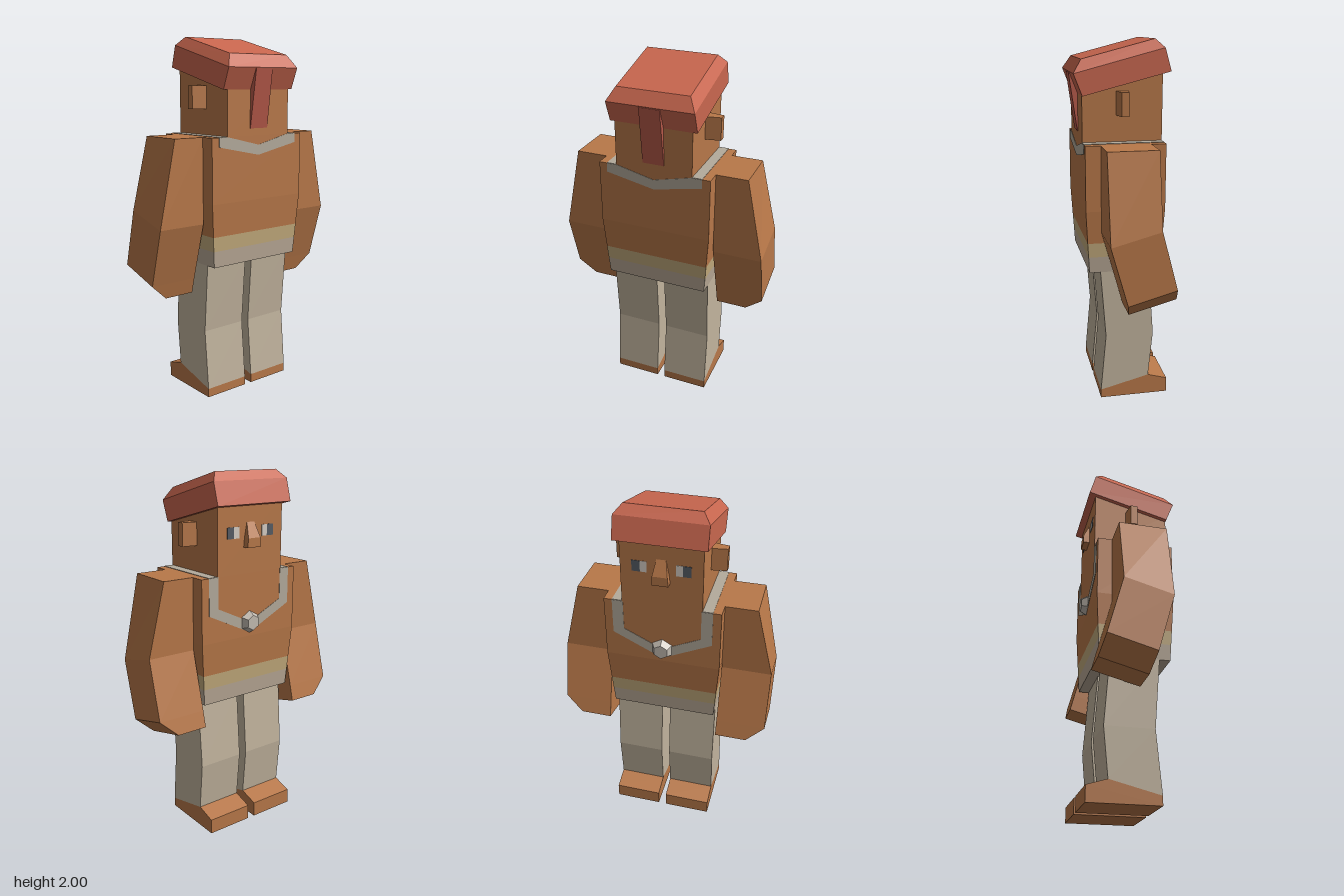
import * as THREE from 'three';

const SKIN = 0xb87849, HAT = 0xc9674f, CLOTH = 0xc2b49e, CORD = 0xb4ab9c;

function add(parent, name, geometry, color) {
  const material = new THREE.MeshStandardMaterial({ color, flatShading: true });
  const mesh = new THREE.Mesh(geometry, material);
  mesh.name = name;
  parent.add(mesh);
  return mesh;
}

// Closed four-sided loft, bottom to top. Ring: [x0, x1, zBack, yBack, zFace, yFace]
function loft(rings, side = 1) {
  const corners = rings.map(([a, b, zb, yb, zf, yf]) => {
    const x0 = Math.min(a * side, b * side), x1 = Math.max(a * side, b * side);
    return [[x0, yb, zb], [x1, yb, zb], [x1, yf, zf], [x0, yf, zf]];
  });
  const pos = [];
  const quad = (a, b, c, d) => [a, b, c, a, c, d].forEach((p) => pos.push(...p));
  for (let r = 0; r < corners.length - 1; r++) {
    const lo = corners[r], up = corners[r + 1];
    for (let i = 0; i < 4; i++) {
      const j = (i + 1) % 4;
      quad(lo[i], lo[j], up[j], up[i]);
    }
  }
  const first = corners[0], last = corners[corners.length - 1];
  quad(first[3], first[2], first[1], first[0]);
  quad(...last);
  const g = new THREE.BufferGeometry();
  g.setAttribute('position', new THREE.Float32BufferAttribute(pos, 3));
  g.computeVertexNormals();
  return g;
}

function extrude(points, depth) {
  const shape = new THREE.Shape(points.map(([x, y]) => new THREE.Vector2(x, y)));
  return new THREE.ExtrudeGeometry(shape, { depth, bevelEnabled: false });
}

// Symmetric V-shaped cord, from half outlines given top to centre
function cordV(outer, inner) {
  const flip = (pts) => pts.slice(0, -1).reverse().map(([x, y]) => [-x, y]);
  return extrude([...outer, ...flip(outer), ...flip(inner).reverse(), ...inner.slice().reverse()], 0.005);
}

function box(x, y, z, w, h, d) {
  return new THREE.BoxGeometry(w, h, d).translate(x, y, z);
}

export function createModel() {
  const model = new THREE.Group();
  model.name = 'figure';

  // Torso with a two-tone hem
  const torso = new THREE.Group();
  torso.name = 'torso';
  model.add(torso);
  const waist = [-0.302, 0.302, 0.205, 0.94, -0.205, 0.94];
  const hem = [-0.297, 0.297, 0.2, 0.86, -0.2, 0.86];
  add(torso, 'chest', loft([waist,
    [-0.315, 0.315, 0.215, 1.12, -0.215, 1.12],
    [-0.315, 0.315, 0.215, 1.47, -0.215, 1.47]]), SKIN);
  add(torso, 'upperHem', loft([hem, waist]), 0xc2aa7c);
  add(torso, 'lowerHem', loft([[-0.29, 0.29, 0.195, 0.77, -0.195, 0.77], hem]), 0xb9a996);

  // Head, nose and hat (the face looks toward -z)
  const head = new THREE.Group();
  head.name = 'head';
  model.add(head);
  add(head, 'skull', loft([
    [-0.215, 0.215, 0.215, 1.47, -0.215, 1.47],
    [-0.215, 0.215, 0.215, 1.75, -0.215, 1.86]]), SKIN);
  add(head, 'nose', loft([
    [-0.045, 0.045, -0.21, 1.61, -0.25, 1.61],
    [-0.04, 0.04, -0.21, 1.66, -0.25, 1.66],
    [-0.025, 0.025, -0.21, 1.74, -0.215, 1.74]]), SKIN);
  add(head, 'hat', loft([
    [-0.24, 0.24, 0.215, 1.715, -0.255, 1.835],
    [-0.24, 0.24, 0.26, 1.83, -0.22, 1.955],
    [-0.2, 0.2, 0.215, 1.9, -0.175, 2]]), HAT);
  add(head, 'hatTail', loft([
    [-0.06, 0.06, 0.218, 1.51, 0.21, 1.51],
    [-0.057, 0.057, 0.262, 1.825, 0.21, 1.825]]), 0xb85a4a);

  // Necklace: V on both sides of the torso, straps over the shoulders, gem
  const necklace = new THREE.Group();
  necklace.name = 'necklace';
  model.add(necklace);
  add(necklace, 'backCord', cordV(
    [[0.27, 1.47], [0.27, 1.42], [0, 1.365]],
    [[0.21, 1.47], [0, 1.42]]), CORD).position.z = 0.212;
  add(necklace, 'chestCord', cordV(
    [[0.27, 1.47], [0.27, 1.27], [0, 1.14]],
    [[0.21, 1.47], [0.21, 1.3], [0, 1.2]]), CORD).position.z = -0.217;
  const gem = new THREE.CylinderGeometry(0.042, 0.065, 0.04, 6);
  gem.rotateX(-Math.PI / 2).translate(0, 1.2, -0.23);
  add(necklace, 'pendant', gem, 0xc4bcb2);

  for (const s of [1, -1]) {
    const label = s > 0 ? 'left' : 'right';
    add(necklace, label + 'Strap', box(s * 0.24, 1.47, 0, 0.06, 0.005, 0.43), CORD);

    // Eyes: light toward the nose, dark outside
    add(head, label + 'EyeWhite', box(s * 0.093, 1.69, -0.215, 0.035, 0.06, 0.005), 0xd6cec4);
    add(head, label + 'Pupil', box(s * 0.132, 1.69, -0.215, 0.044, 0.06, 0.005), 0x565c64);

    // Ears taper outward
    const ear = extrude([[0.21, -0.035], [0.298, -0.02], [0.298, 0.02], [0.21, 0.032]]
      .map(([x, y]) => [x * s, y]), 0.125);
    add(head, label + 'Ear', ear.rotateX(-Math.PI / 2).translate(0, 1.612, 0), SKIN);

    // Arms: bent at the elbow, with a bevelled hand
    add(model, label + 'Arm', loft([
      [0.315, 0.49, 0.02, 0.597, -0.24, 0.665],
      [0.315, 0.588, 0.043, 0.685, -0.217, 0.755],
      [0.315, 0.588, 0.133, 1.005, -0.132, 1.075],
      [0.315, 0.49, 0.133, 1.47, -0.135, 1.47]], s), SKIN);

    // Legs bend slightly at the knee
    add(model, label + 'Leg', loft([
      [0.023, 0.29, 0.135, 0.05, -0.14, 0.118],
      [0.023, 0.29, 0.105, 0.385, -0.165, 0.385],
      [0.023, 0.29, 0.135, 0.775, -0.135, 0.775]], s), CLOTH);

    // Shoes: wedge profile (z, y) extruded across the foot
    const shoe = extrude([[0.135, 0], [0.135, 0.05], [-0.14, 0.118], [-0.25, 0.085], [-0.25, 0]], 0.267);
    shoe.rotateY(-Math.PI / 2).translate(s > 0 ? 0.29 : -0.023, 0, 0);
    add(model, label + 'Shoe', shoe, SKIN);
  }
  return model;
}
